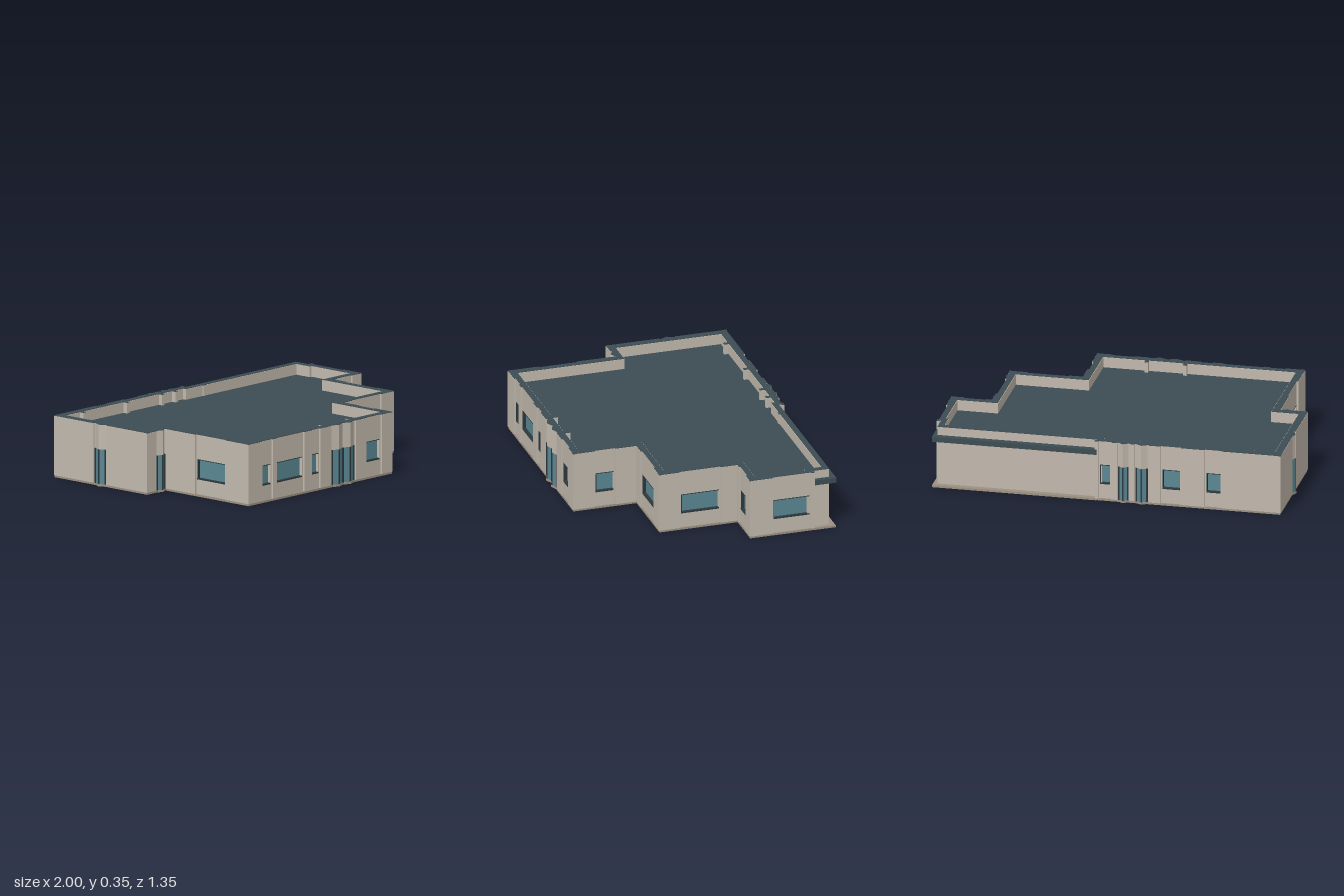
import * as THREE from 'three';

const material = (name, color) => {
  const m = new THREE.MeshStandardMaterial({ color });
  m.name = name;
  return m;
};

export function createModel() {
  const wall = material('wall panel beige', 0xc2b9ad);
  const base = material('plinth brown', 0x9c9182);
  const dark = material('roof slate', 0x3d4d53);
  const glass = material('window glass', 0x5a8793);
  const trim = material('frame dark', 0x2c383d);

  const model = new THREE.Group();
  model.name = 'building';
  const TOP = 0.35, ROOF = 0.29, BASE = 0.012, HEAD = 0.21, SILL = 0.098;
  const THICK = 0.03, PANEL = 0.011;

  const add = (parent, name, geo, mat) => {
    const m = new THREE.Mesh(geo, mat);
    m.name = name;
    parent.add(m);
    return m;
  };
  // box given by its limits
  const box = (parent, name, mat, x0, x1, y0, y1, z0, z1) =>
    add(parent, name, new THREE.BoxGeometry(x1 - x0, y1 - y0, z1 - z0), mat)
      .position.set((x0 + x1) / 2, (y0 + y1) / 2, (z0 + z1) / 2);
  // plan outline [x, z] raised from y0 to y1, with an optional inner opening
  const toVec = (pts) => pts.map(([x, z]) => new THREE.Vector2(x, -z));
  const slab = (parent, name, mat, pts, y0, y1, hole) => {
    const s = new THREE.Shape(toVec(pts));
    if (hole) s.holes.push(new THREE.Path(toVec(hole)));
    const g = new THREE.ExtrudeGeometry(s, { depth: y1 - y0, bevelEnabled: false });
    g.rotateX(-Math.PI / 2).translate(0, y0, 0);
    return add(parent, name, g, mat);
  };

  // Facades in order round the plan: start corner and openings up to the next corner
  const facades = [
    { name: 'westWingFront', p: [-0.985, 0.022], doors: [[-0.91, -0.845]] },
    { name: 'leftFront', p: [-0.83, 0.022], windows: [[0.26, 0.47]] },
    { name: 'front', p: [-0.83, 0.645], doors: [[-0.15, 0.035]], pleats: 2,
      windows: [[-0.72, -0.65], [-0.6, -0.39], [-0.31, -0.255], [0.14, 0.25]] },
    { name: 'rightFront', p: [0.335, 0.645], windows: [[0.52, 0.417]] },
    { name: 'middleFront', p: [0.335, 0.276], windows: [[0.43, 0.65]] },
    { name: 'middleRight', p: [0.752, 0.276], windows: [[0.155, -0.065]] },
    { name: 'eastFront', p: [0.752, -0.18], windows: [[0.8, 0.91]] },
    { name: 'eastRight', p: [0.983, -0.18], windows: [[-0.31, -0.52]] },
    { name: 'cornerStep', p: [0.983, -0.54], plain: true },
    { name: 'cornerRight', p: [0.967, -0.54], plain: true },
    { name: 'plainBack', p: [0.967, -0.64], plain: true },
    { name: 'backStep', p: [0.055, -0.64], plain: true },
    { name: 'back', p: [0.055, -0.66], doors: [[-0.07, -0.125], [-0.17, -0.235]],
      windows: [[0.035, -0.02], [-0.32, -0.42], [-0.57, -0.65]] },
    { name: 'left', p: [-0.985, -0.66], doors: [[-0.365, -0.285]] },
  ];
  const plan = facades.map((f) => f.p);
  const n = plan.length;

  // Shift every side of the right-angled plan inwards (negative = outwards)
  const inset = (d) => plan.map((p, i) => {
    const q = plan[(i + n - 1) % n], r = plan[(i + 1) % n];
    const normal = (a, b) => [-Math.sign(b[1] - a[1]), Math.sign(b[0] - a[0])];
    const n0 = normal(q, p), n1 = normal(p, r);
    return [p[0] - d * (n0[0] + n1[0]), p[1] - d * (n0[1] + n1[1])];
  });

  // Plinth, roof deck, parapet and coping
  slab(model, 'plinth', base, inset(-0.008), 0, BASE);
  slab(model, 'roofDeck', dark, inset(0.002), ROOF - 0.01, ROOF);
  slab(model, 'parapet', wall, plan, ROOF, TOP, inset(0.035));
  slab(model, 'coping', dark, plan, TOP, TOP + 0.003, inset(0.032));

  facades.forEach((f, i) => {
    const end = plan[(i + 1) % n];
    const dx = end[0] - f.p[0], dz = end[1] - f.p[1], len = Math.hypot(dx, dz);
    const axis = Math.abs(dx) > Math.abs(dz) ? 0 : 1;
    const local = (list = []) => list.map((o) => o.map((v) => Math.abs(v - f.p[axis])));
    const windows = local(f.windows), doors = local(f.doors);

    // local x runs along the wall, local z points outwards
    const g = new THREE.Group();
    g.name = f.name + 'Facade';
    g.position.set(f.p[0], 0, f.p[1]);
    g.rotation.y = Math.atan2(-dz, dx);
    model.add(g);

    const rect = (T, a, b, y0, y1) => new T([[a, y0], [b, y0], [b, y1], [a, y1]]
      .map(([x, y]) => new THREE.Vector2(x, y)));
    const s = rect(THREE.Shape, 0, len, BASE, ROOF);
    windows.forEach(([a, b]) => s.holes.push(rect(THREE.Path, a, b, SILL, HEAD)));
    const wg = new THREE.ExtrudeGeometry(s, { depth: THICK, bevelEnabled: false });
    add(g, 'wall', wg.translate(0, 0, -THICK), wall);

    // Recessed windows with dark sill, head and side frame
    windows.forEach(([a, b]) => {
      box(g, 'windowGlass', glass, a, b, SILL, HEAD, -0.024, -0.018);
      box(g, 'windowSill', trim, a, b, SILL - 0.002, SILL + 0.005, -0.02, 0.002);
      box(g, 'windowHead', trim, a, b, HEAD - 0.003, HEAD + 0.001, -0.02, 0.001);
      box(g, 'windowJamb', trim, a, a + 0.004, SILL, HEAD, -0.02, 0.001);
    });

    // Pleated glazed entrances, with pleated wall above
    doors.forEach(([a, b]) => {
      const count = f.pleats || 1, w = (b - a) / count;
      for (let k = 0; k < count; k++) {
        const u = a + k * w, m = u + w / 2;
        const tri = [[u, 0.001], [m, 0.02], [u + w, 0.001]];
        slab(g, 'doorGlass', glass, tri, BASE, HEAD);
        slab(g, 'doorHeadPleat', wall, tri, HEAD, TOP);
        slab(g, 'doorCoping', dark, tri, TOP, TOP + 0.003);
        slab(g, 'doorStep', base, tri.map(([x, z]) => [x, z + 0.004]), 0, BASE);
        box(g, 'doorPost', trim, m - 0.004, m + 0.004, BASE, HEAD, 0.01, 0.021);
        box(g, 'doorPost', trim, u - 0.002, u + 0.007, BASE, HEAD, 0, 0.008);
        box(g, 'doorPost', trim, u + w - 0.007, u + w + 0.002, BASE, HEAD, 0, 0.008);
      }
    });

    // Raised panels on the solid stretches between the openings
    if (f.plain) return;
    const stops = [...windows, ...doors].sort((p, q) => p[0] - q[0]);
    let from = -PANEL;
    [...stops, [len + PANEL, 0]].forEach(([a, b], k) => {
      const to = k === stops.length ? a : a - 0.008;
      if (to - from > 0.012) {
        box(g, 'raisedPanel', wall, from, to, BASE, TOP, -0.005, PANEL);
        box(g, 'panelCoping', dark, from, to, TOP, TOP + 0.003, -0.005, PANEL - 0.002);
      }
      from = b + 0.008;
    });
  });

  // Dark canopy band and ledge along the plain back wall
  box(model, 'canopyBand', dark, 0.055, 0.992, 0.272, 0.302, -0.675, -0.638);
  box(model, 'canopyReturn', dark, 0.96, 0.992, 0.272, 0.302, -0.675, -0.541);
  box(model, 'backLedge', base, 0.055, 0.992, 0, BASE, -0.672, -0.638);
  box(model, 'backLedgeReturn', base, 0.96, 0.992, 0, BASE, -0.672, -0.541);

  // Small piers on the inside of the parapet
  const pier = (x, z0, z1) => {
    box(model, 'parapetPier', wall, x - 0.01, x + 0.01, ROOF, TOP, z0, z1);
    box(model, 'pierCoping', dark, x - 0.01, x + 0.01, TOP, TOP + 0.003, z0, z1);
  };
  [-0.17, 0.05].forEach((x) => pier(x, 0.58, 0.62));
  [-0.82, -0.46, -0.17, -0.06, 0.17].forEach((x) => pier(x, -0.635, -0.6));

  return model;
}
